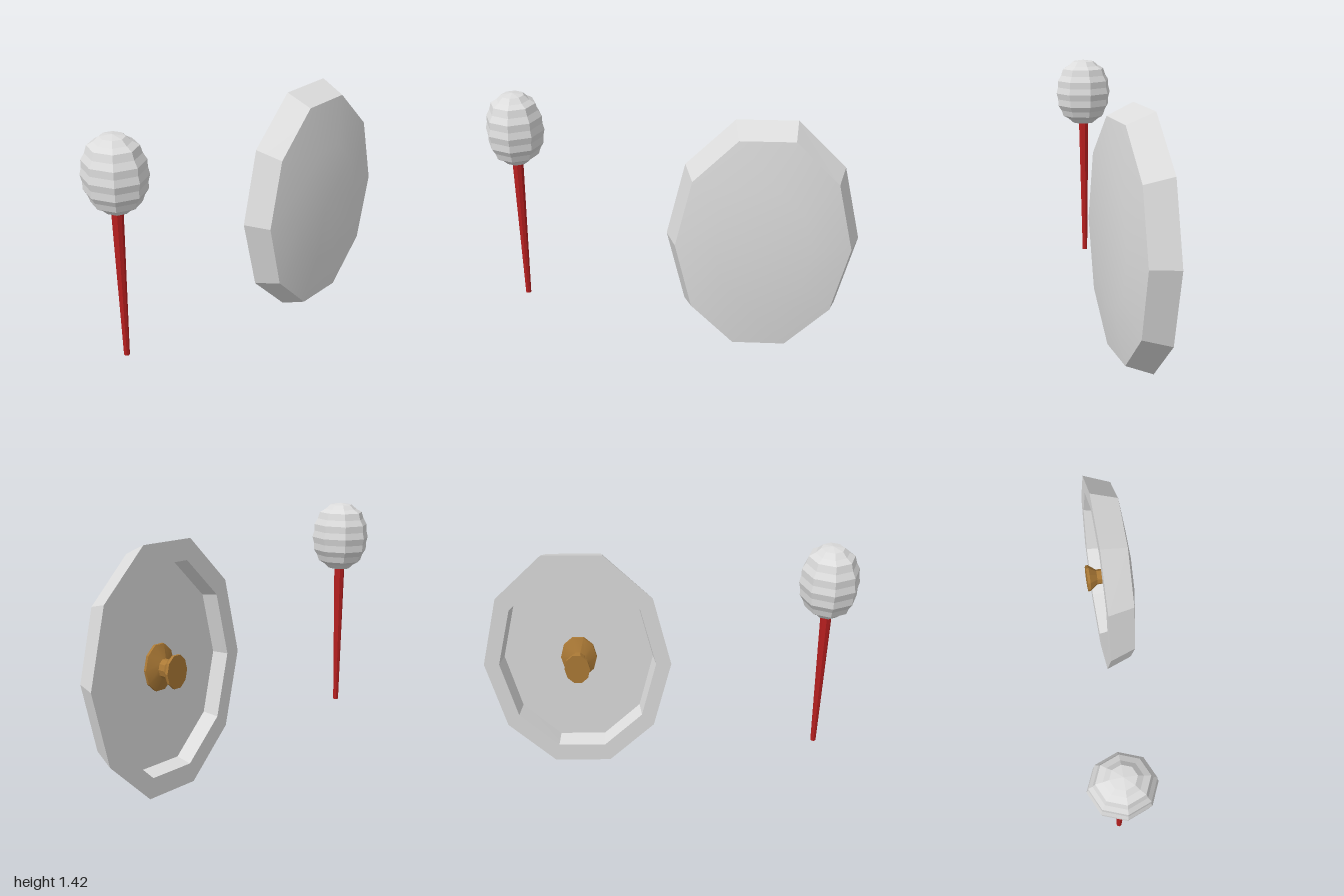
import * as THREE from 'three';
import { toCreasedNormals } from 'three/addons/utils/BufferGeometryUtils.js';

const steel = new THREE.MeshStandardMaterial({ color: 0xdcdcdc });
steel.name = 'steel grey';
const red = new THREE.MeshStandardMaterial({ color: 0xb81f1f });
red.name = 'handle red';
const wood = new THREE.MeshStandardMaterial({ color: 0xac7a36 });
wood.name = 'wood brown';

// Faceted loft along z, from front to back; each ring is [rx, ry, z]
function loft(rings, sides, crease = 0.3) {
  const pos = [];
  const point = ([rx, ry, z], k) => {
    const a = (k / sides) * Math.PI * 2;
    return [rx * Math.cos(a), ry * Math.sin(a), z];
  };
  for (let i = 0; i < rings.length - 1; i++) {
    const A = rings[i], B = rings[i + 1];
    for (let k = 0; k < sides; k++) {
      const a0 = point(A, k), a1 = point(A, k + 1);
      const b0 = point(B, k), b1 = point(B, k + 1);
      if (B[0] > 0) pos.push(...a0, ...b0, ...b1);
      if (A[0] > 0) pos.push(...a0, ...b1, ...a1);
    }
  }
  const geo = new THREE.BufferGeometry();
  geo.setAttribute('position', new THREE.Float32BufferAttribute(pos, 3));
  geo.computeVertexNormals();
  return toCreasedNormals(geo, crease);
}

function part(name, geo, material, x, y, z) {
  const mesh = new THREE.Mesh(geo, material);
  mesh.name = name;
  mesh.position.set(x, y, z);
  return mesh;
}

export function createModel() {
  const model = new THREE.Group();
  model.name = 'maceAndShield';

  // Shield: domed front, bevelled side, flat rim and recessed back
  const shield = new THREE.Group();
  shield.name = 'shield';
  shield.add(part('shieldBody', loft([
    [0, 0, 0.22], [0.26, 0.352, 0.22], [0.465, 0.635, 0.185],
    [0.517, 0.698, 0.04], [0.433, 0.582, 0.04], [0.415, 0.563, 0.13], [0, 0, 0.13],
  ], 10), steel, 0.483, 0.666, 0));

  // Spool-shaped grip on the back of the shield
  shield.add(part('shieldGrip', loft([
    [0.1, 0.13, 0.132], [0.1, 0.13, 0.115], [0.04, 0.053, 0.085],
    [0.04, 0.053, 0.045], [0.07, 0.092, 0.003], [0.07, 0.092, -0.012], [0, 0, -0.012],
  ], 10), wood, 0.481, 0.666, 0));
  model.add(shield);

  // Mace head: eight-sided ball with a shallow groove between each pair of rings
  const mace = new THREE.Group();
  mace.name = 'mace';
  const profile = [
    [0.06, 0.19], [0.118, 0.146], [0.148, 0.075], [0.157, 0],
    [0.148, -0.075], [0.118, -0.14], [0.06, -0.185],
  ];
  const rings = [[0, 0.2]];
  profile.forEach(([r, h], i) => {
    rings.push([r, h]);
    const next = profile[i + 1];
    if (next) rings.push([(r + next[0]) * 0.486, (h + next[1]) * 0.49]);
  });
  rings.push([0, -0.185]);
  const head = loft(rings.map(([r, h]) => [r, r * 1.085, h]), 8, 0.01);
  head.rotateX(-Math.PI / 2);
  mace.add(part('maceHead', head, steel, -0.843, 1.218, -0.048));

  // Tapered handle
  const shaft = new THREE.CylinderGeometry(0.03, 0.015, 0.83, 8);
  mace.add(part('maceHandle', toCreasedNormals(shaft, 0.3), red, -0.843, 0.623, -0.048));
  model.add(mace);

  return model;
}
